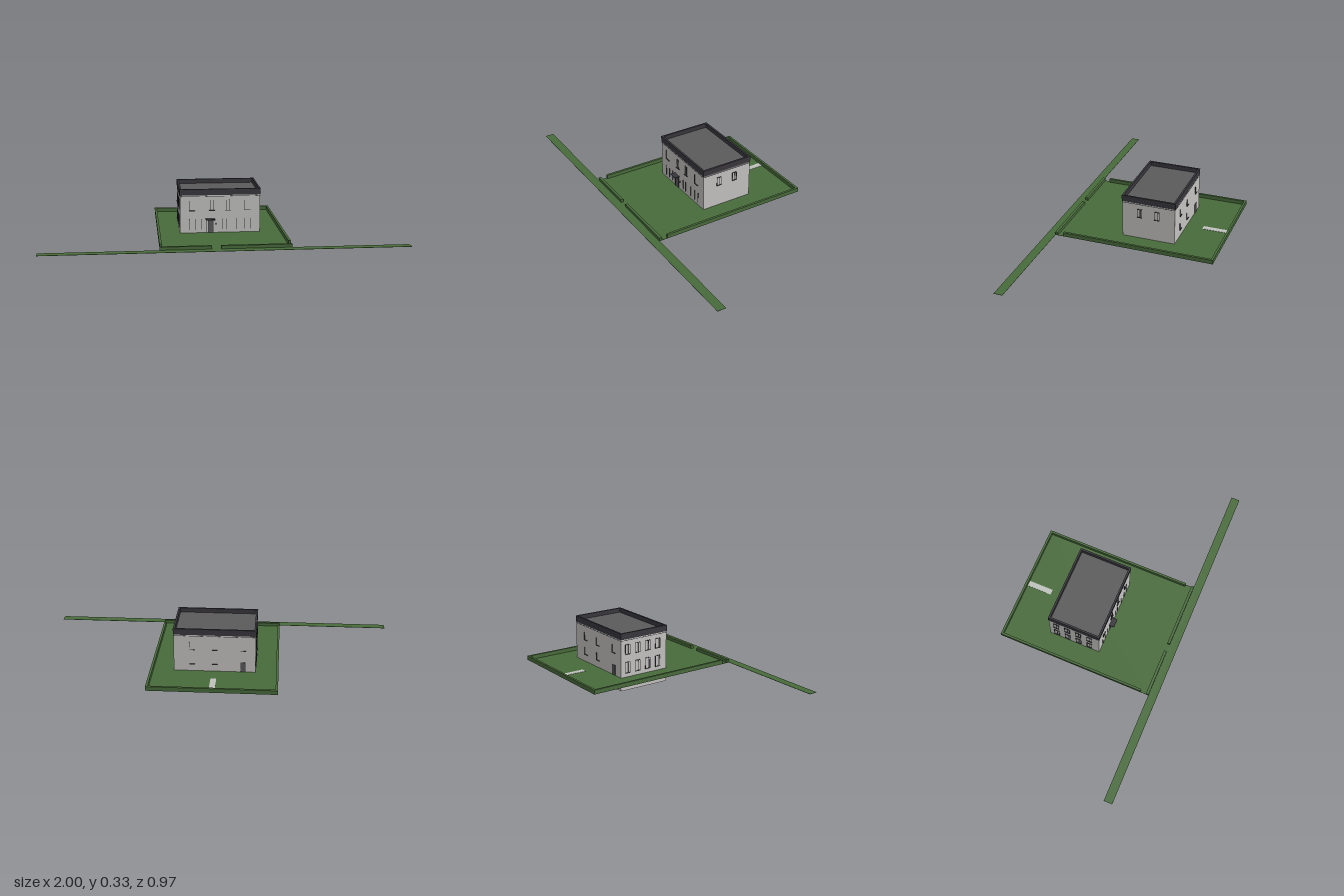
import * as THREE from 'three';

const mat = (name, color) => {
  const m = new THREE.MeshStandardMaterial({ color });
  m.name = name;
  return m;
};

export function createModel() {
  const model = new THREE.Group();
  model.name = 'houseAndGarden';
  const green = mat('grassGreen', 0x486b3b);
  const wall = mat('wallGrey', 0xc4c3c1);
  const dark = mat('parapetCharcoal', 0x39373d);
  const roofGrey = mat('roofGrey', 0x5c5b5c);
  const stone = mat('pathStone', 0xbfc3bc);

  // Box given by its minimum and maximum corners
  const box = (name, m, x0, x1, y0, y1, z0, z1, parent = model) => {
    const mesh = new THREE.Mesh(new THREE.BoxGeometry(x1 - x0, y1 - y0, z1 - z0), m);
    mesh.position.set((x0 + x1) / 2, (y0 + y1) / 2, (z0 + z1) / 2);
    mesh.name = name;
    parent.add(mesh);
    return mesh;
  };

  // Garden, verge and back path
  box('lawn', green, -0.356, 0.356, 0.075, 0.0765, -0.487, 0.437);
  box('verge', green, -1, 1, 0.075, 0.0765, 0.435, 0.485);
  box('backPath', stone, -0.016, 0.016, 0.0745, 0.078, -0.472, -0.325);

  // Hedges
  for (const s of [-1, 1]) {
    const a = s * 0.356, b = s * 0.343;
    box('sideHedge', green, Math.min(a, b), Math.max(a, b), 0.075, 0.099, -0.487, 0.386);
  }
  box('backHedge', green, -0.343, 0.343, 0.075, 0.099, -0.487, -0.474);
  box('frontHedge', green, -0.356, -0.078, 0.075, 0.094, 0.42, 0.436);
  box('frontHedge', green, -0.028, 0.356, 0.075, 0.094, 0.42, 0.436);

  // House body, cornice line, flat roof
  const W = 0.228, ZB = -0.229, ZF = 0.078;
  box('walls', wall, -W, W, 0, 0.296, ZB, ZF);
  box('cornice', dark, -W - 0.001, W + 0.001, 0.286, 0.288, ZB - 0.001, ZF + 0.001);
  box('flatRoof', roofGrey, -W + 0.01, W - 0.01, 0.296, 0.304, ZB + 0.01, ZF - 0.01);

  // Parapet ring
  const ring = (w, h, P) => {
    const p = new P();
    p.moveTo(-w, -h).lineTo(w, -h).lineTo(w, h).lineTo(-w, h).closePath();
    return p;
  };
  const outline = ring(W + 0.002, 0.1555, THREE.Shape);
  outline.holes.push(ring(W - 0.009, 0.1445, THREE.Path));
  const parapet = new THREE.Mesh(
    new THREE.ExtrudeGeometry(outline, { depth: 0.035, bevelEnabled: false }).rotateX(-Math.PI / 2), dark);
  parapet.position.set(0, 0.294, (ZB + ZF) / 2);
  parapet.name = 'parapet';
  model.add(parapet);

  // Each facade is a group whose local +z points out of the wall
  const facade = (name, x, z, turn) => {
    const g = new THREE.Group();
    g.name = name;
    g.position.set(x, 0, z);
    g.rotation.y = turn;
    model.add(g);
    return g;
  };
  const front = facade('frontFacade', 0, ZF, 0);
  const back = facade('backFacade', 0, ZB, Math.PI);
  const rightSide = facade('eastFacade', W, 0, Math.PI / 2);
  const leftSide = facade('westFacade', -W, 0, -Math.PI / 2);

  const bar = (g, x, y0, y1) => box('windowBar', dark, x - 0.0015, x + 0.0015, y0, y1, -0.001, 0.003, g);
  const sill = (g, x, y, w) => box('windowSill', dark, x - w / 2, x + w / 2, y - 0.0015, y + 0.0015, -0.001, 0.005, g);

  // Framed casement with a centre bar
  const casement = (g, x, y0, y1, w) => {
    box('windowPane', wall, x - w / 2, x + w / 2, y0, y1, -0.001, 0.001, g);
    for (const k of [-0.5, 0.1, 0.5]) bar(g, x + k * w, y0, y1);
    sill(g, x, y0, w + 0.003);
    box('windowHead', dark, x - w / 2, x + w / 2, y1 - 0.0015, y1 + 0.0015, -0.001, 0.003, g);
  };

  // Plain window showing only its sill and one reveal
  const plain = (g, x, y0, y1, w) => {
    sill(g, x, y0, w);
    box('windowReveal', dark, x - w / 2, x - w / 2 + 0.001, y0, y1, -0.001, 0.004, g);
  };

  // Front windows
  for (const x of [-0.158, 0.155]) plain(front, x, 0.205, 0.262, 0.036);
  for (const x of [-0.046, 0.044]) {
    bar(front, x - 0.007, 0.205, 0.265);
    bar(front, x + 0.007, 0.205, 0.265);
    sill(front, x, 0.205, 0.034);
  }
  for (const x of [-0.177, -0.142, -0.105, 0.012, 0.038, 0.095, 0.138, 0.172]) bar(front, x, 0.095, 0.157);

  // Entrance: framed door, canopy and lamp
  box('frontDoor', roofGrey, -0.066, -0.042, 0.077, 0.148, -0.001, 0.002, front);
  for (const x of [-0.077, -0.068, -0.04]) bar(front, x, 0.077, 0.155);
  box('entranceCanopy', dark, -0.082, -0.03, 0.154, 0.158, 0, 0.03, front);
  box('doorLamp', dark, -0.026, -0.02, 0.121, 0.13, 0, 0.004, front);

  // East side: two upper casements
  for (const z of [-0.024, -0.126]) casement(rightSide, -z, 0.207, 0.257, 0.027);

  // West side: two rows of casements
  for (const z of [-0.185, -0.118, -0.05, 0.018]) {
    casement(leftSide, z, 0.207, 0.262, 0.03);
    casement(leftSide, z, 0.1, 0.162, 0.03);
  }

  // Back windows and door (local x is mirrored)
  for (const x of [0.125, 0]) {
    plain(back, -x, 0.205, 0.25, 0.03);
    plain(back, -x, 0.118, 0.16, 0.03);
  }
  plain(back, 0.158, 0.205, 0.25, 0.03);
  box('backDoor', roofGrey, 0.146, 0.17, 0.077, 0.135, -0.001, 0.003, back);
  for (const x of [0.145, 0.171]) bar(back, x, 0.077, 0.136);

  return model;
}
